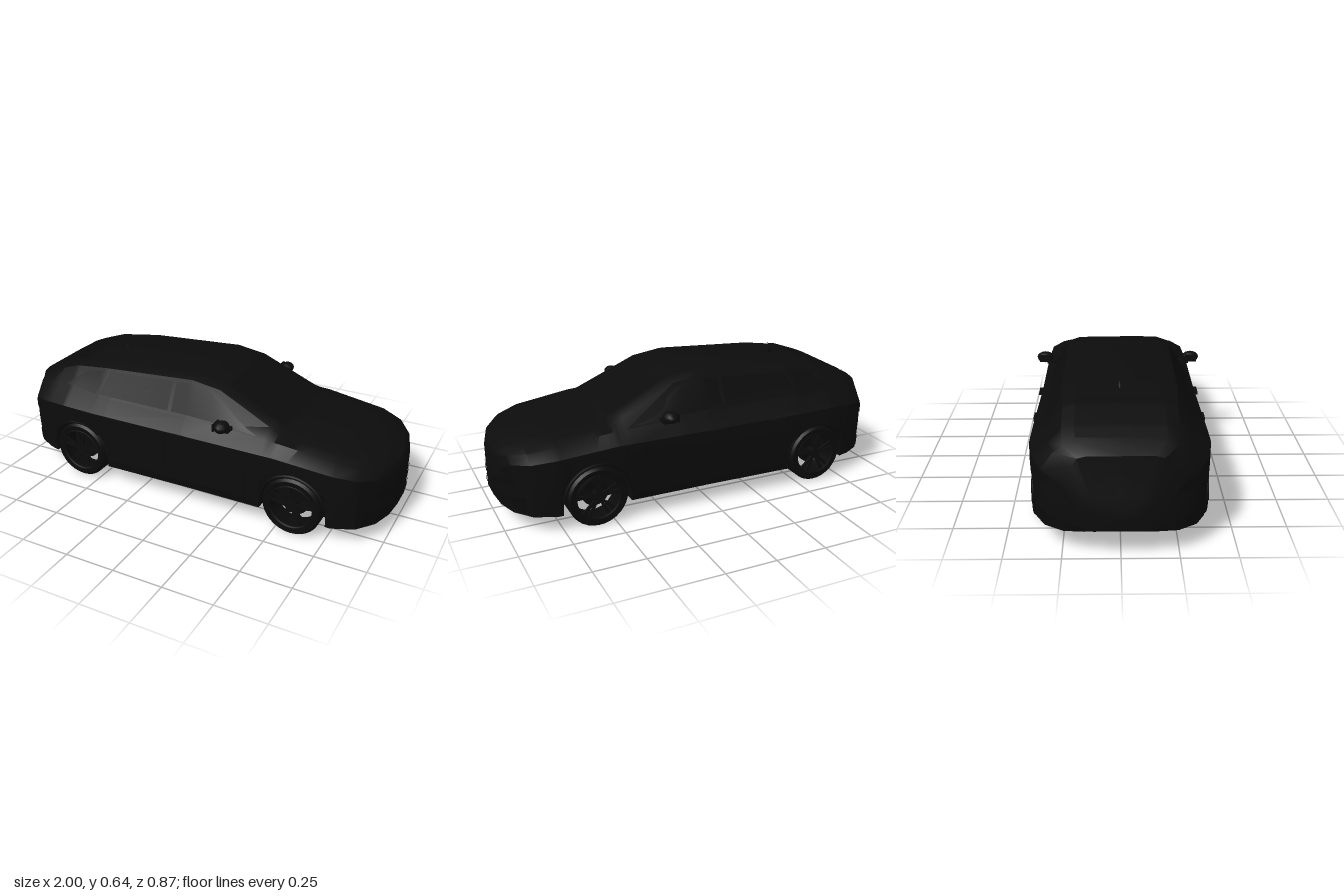
import * as THREE from 'three';
import { toCreasedNormals } from 'three/addons/utils/BufferGeometryUtils.js';

const WHEELS = [-0.6, 0.585], AXLE = 0.155, ARCH = 0.165;

// Body stations: x, half width, floor y, side y, belt y, belt z, rail y, rail z, top y
const KEYS = [
  [-1.00, 0.08, 0.14, 0.200, 0.215, 0.075, 0.220, 0.06, 0.225],
  [-0.985, 0.16, 0.13, 0.240, 0.270, 0.140, 0.280, 0.12, 0.285],
  [-0.96, 0.25, 0.12, 0.340, 0.420, 0.200, 0.455, 0.18, 0.465],
  [-0.90, 0.335, 0.115, 0.380, 0.455, 0.280, 0.485, 0.24, 0.500],
  [-0.82, 0.375, 0.11, 0.390, 0.465, 0.310, 0.520, 0.25, 0.535],
  [-0.68, 0.40, 0.10, 0.400, 0.465, 0.335, 0.568, 0.25, 0.585],
  [-0.50, 0.40, 0.10, 0.395, 0.465, 0.340, 0.592, 0.26, 0.612],
  [0.00, 0.39, 0.10, 0.390, 0.460, 0.335, 0.627, 0.255, 0.645],
  [0.15, 0.39, 0.10, 0.390, 0.455, 0.335, 0.606, 0.255, 0.625],
  [0.49, 0.39, 0.10, 0.390, 0.440, 0.335, 0.450, 0.28, 0.465],
  [0.775, 0.385, 0.09, 0.370, 0.405, 0.320, 0.416, 0.25, 0.430],
  [0.88, 0.34, 0.09, 0.350, 0.382, 0.280, 0.392, 0.21, 0.402],
  [0.95, 0.25, 0.09, 0.330, 0.357, 0.200, 0.366, 0.15, 0.373],
  [0.985, 0.15, 0.095, 0.290, 0.332, 0.115, 0.345, 0.085, 0.350],
  [1.00, 0.06, 0.11, 0.250, 0.305, 0.050, 0.316, 0.04, 0.320],
];

// Half section from the floor centre, round the +z side, to the top centre
function section(x) {
  let k = 0;
  while (k < KEYS.length - 2 && x > KEYS[k + 1][0]) k++;
  const a = KEYS[k], b = KEYS[k + 1];
  const f = Math.min(1, Math.max(0, (x - a[0]) / (b[0] - a[0])));
  const [, w, floor, sideY, beltY, beltZ, railY, railZ, topY] = a.map((v, i) => v + (b[i] - v) * f);
  let arch = floor;
  for (const c of WHEELS) {
    const d = ARCH * ARCH - (x - c) ** 2;
    if (d >= -1e-9) arch = AXLE + Math.sqrt(Math.max(0, d));
  }
  const inner = Math.min(w * 0.9, 0.27);
  return [[floor, 0], [floor, inner], [arch, inner], [arch, w * 0.97],
    [Math.max(sideY * 0.7, arch + 0.005), w], [sideY, w], [beltY, beltZ],
    [railY, railZ], [topY, railZ * 0.78], [topY, 0]];
}

function geometry(pos, idx, crease = 0.5) {
  const g = new THREE.BufferGeometry();
  g.setAttribute('position', new THREE.Float32BufferAttribute(pos, 3));
  g.setIndex(idx);
  return toCreasedNormals(g, crease);
}

// Lofted shell with wheel wells and closed ends
function bodyGeometry() {
  const xs = KEYS.map(k => k[0]);
  for (const c of WHEELS) {
    for (let i = 0; i <= 16; i++) xs.push(c - ARCH * Math.cos(i * Math.PI / 16));
    xs.push(c - ARCH - 0.001, c + ARCH + 0.001);
  }
  xs.sort((a, b) => a - b);
  const pos = [], idx = [], N = 18;
  for (const x of xs) {
    const h = section(x);
    const loop = [...h, ...h.slice(1, -1).reverse().map(([y, z]) => [y, -z])];
    for (const [y, z] of loop) pos.push(x, y, z);
  }
  for (let i = 0; i < xs.length - 1; i++) for (let j = 0; j < N; j++) {
    const a = i * N + j, b = i * N + (j + 1) % N;
    idx.push(a, a + N, b + N, a, b + N, b);
  }
  const rear = pos.length / 3, last = (xs.length - 1) * N;
  pos.push(-1, 0.19, 0, 1, 0.22, 0);
  for (let j = 0; j < N; j++) {
    const n = (j + 1) % N;
    idx.push(rear, j, n, rear + 1, last + n, last + j);
  }
  return geometry(pos, idx);
}

// Thin skin lying just off the body, on strip s; corners are [x, t], anticlockwise
function skinGeometry(s, corners, side, lift) {
  const at = (x, t) => {
    const h = section(x), a = h[s], b = h[s + 1];
    return new THREE.Vector3(x, a[0] + (b[0] - a[0]) * t, a[1] + (b[1] - a[1]) * t);
  };
  const [p, q, r, o] = corners, U = 16, V = 4, pos = [], idx = [];
  const mix = (m, n, f) => m + (n - m) * f;
  for (let v = 0; v <= V; v++) for (let u = 0; u <= U; u++) {
    const [x, t] = [0, 1].map(i => mix(mix(p[i], q[i], u / U), mix(o[i], r[i], u / U), v / V));
    const dx = at(x + 0.003, t).sub(at(x - 0.003, t)), dt = at(x, 1).sub(at(x, 0));
    const c = at(x, t).addScaledVector(dx.cross(dt).normalize(), lift);
    pos.push(Math.max(-1, Math.min(1, c.x)), c.y, c.z * side);
  }
  for (let v = 0; v < V; v++) for (let u = 0; u < U; u++) {
    const a = v * (U + 1) + u, b = a + 1, c = b + U + 1, d = a + U + 1;
    if (side > 0) idx.push(a, b, c, a, c, d);
    else idx.push(a, c, b, a, d, c);
  }
  return geometry(pos, idx, 0.8);
}

export function createModel() {
  const car = new THREE.Group();
  car.name = 'car';
  const material = (name, color) => Object.assign(new THREE.MeshStandardMaterial({ color }), { name });
  const paint = material('blackPaint', 0x0c0c0c);
  const glass = material('darkGlass', 0x0b0b0b);
  const trim = material('blackTrim', 0x0a0a0a);
  const add = (parent, name, geo, mat, x = 0, y = 0, z = 0) => {
    const m = new THREE.Mesh(geo, mat);
    m.name = name;
    m.position.set(x, y, z);
    parent.add(m);
    return m;
  };
  add(car, 'body', bodyGeometry(), paint);

  // Windows, lamps, grilles and panel gaps, mirrored on both sides
  const rect = (x0, x1, t0, t1) => [[x0, t0], [x1, t0], [x1, t1], [x0, t1]];
  const skins = [
    ['frontWindow', 6, [[-0.08, 0.08], [0.38, 0.08], [0.14, 0.9], [-0.08, 0.9]], glass],
    ['rearWindow', 6, [[-0.5, 0.08], [-0.1, 0.08], [-0.1, 0.9], [-0.46, 0.9]], glass],
    ['quarterWindow', 6, [[-0.72, 0.2], [-0.52, 0.08], [-0.48, 0.9], [-0.6, 0.85]], glass],
    ['windscreen', 8, rect(0.17, 0.47, 0, 1), glass],
    ['tailgateWindow', 8, rect(-0.88, -0.64, 0, 1), glass],
    ['headlight', 4, rect(0.86, 0.975, 0.55, 0.95), glass],
    ['grille', 4, rect(0.93, 0.999, 0, 0.5), trim],
    ['lowerIntake', 3, rect(0.9, 0.998, 0.15, 0.6), trim],
    ['tailLight', 4, rect(-0.975, -0.84, 0.5, 0.95), glass],
    ['rearBumperInsert', 3, rect(-0.995, -0.85, 0.1, 0.5), trim],
    ['sillTrim', 3, rect(-0.42, 0.4, 0.02, 0.22), trim],
  ];
  for (const x of [-0.42, -0.09, 0.34]) {
    skins.push(['doorGapLower', 3, rect(x, x + 0.006, 0.1, 1), trim]);
    skins.push(['doorGapUpper', 4, rect(x, x + 0.006, 0, 1), trim]);
  }
  for (const side of [1, -1]) {
    for (const [name, strip, corners, mat] of skins)
      add(car, name, skinGeometry(strip, corners, side, 0.004), mat);
    // Door handles
    for (const x of [-0.36, -0.02])
      add(car, 'doorHandle', new THREE.BoxGeometry(0.08, 0.012, 0.016), paint, x, 0.385, side * 0.398);
    // Door mirrors: tapered housing on a short arm
    const housing = new THREE.SphereGeometry(1, 12, 8);
    housing.scale(0.036, 0.029, 0.044);
    add(car, 'mirrorHousing', housing, paint, 0.225, 0.49, side * 0.39);
    add(car, 'mirrorGlass', new THREE.BoxGeometry(0.008, 0.036, 0.06), glass, 0.194, 0.49, side * 0.39);
    add(car, 'mirrorArm', new THREE.BoxGeometry(0.035, 0.016, 0.06), paint, 0.235, 0.463, side * 0.35);
    for (const x of WHEELS) {
      const lip = new THREE.TorusGeometry(ARCH - 0.003, 0.008, 6, 24, Math.PI);
      add(car, 'archLip', lip, trim, x, AXLE, side * 0.384);
    }
  }
  add(car, 'roofFin', new THREE.ConeGeometry(0.022, 0.035, 4).scale(1, 1, 0.3), paint, -0.53, 0.622, 0);

  // Open wheels: tyre, rim, ten paired spokes, hub and brake disc
  const tyre = new THREE.LatheGeometry([[0.112, -0.054], [0.136, -0.056], [0.147, -0.044], [0.147, 0.044],
    [0.136, 0.056], [0.112, 0.054], [0.112, -0.054]].map(([r, y]) => new THREE.Vector2(r, y)), 32);
  const tyreGeo = toCreasedNormals(tyre.rotateX(Math.PI / 2), 0.6);
  const disc = r => new THREE.CylinderGeometry(r, r, 0.016, 24).rotateX(Math.PI / 2);
  for (const x of WHEELS) for (const side of [1, -1]) {
    const wheel = new THREE.Group();
    wheel.name = (x > 0 ? 'front' : 'rear') + 'Wheel';
    wheel.position.set(x, AXLE, side * 0.336);
    if (side < 0) wheel.rotation.y = Math.PI;
    car.add(wheel);
    add(wheel, 'tyre', tyreGeo, trim);
    add(wheel, 'rim', new THREE.TorusGeometry(0.11, 0.007, 6, 32), paint, 0, 0, 0.048);
    add(wheel, 'hub', disc(0.026), paint, 0, 0, 0.042);
    add(wheel, 'brakeDisc', disc(0.065), trim, 0, 0, -0.01);
    add(wheel, 'axleStub', new THREE.CylinderGeometry(0.02, 0.02, 0.12, 12).rotateX(Math.PI / 2), trim, 0, 0, -0.02);
    for (let i = 0; i < 10; i++) {
      const angle = Math.floor(i / 2) * Math.PI * 0.4 + (i % 2 ? 0.16 : -0.16) + Math.PI / 2;
      const spoke = new THREE.BoxGeometry(0.095, 0.013, 0.012).translate(0.064, 0, 0);
      add(wheel, 'spoke', spoke, paint, 0, 0, 0.044).rotation.z = angle;
    }
  }
  return car;
}
